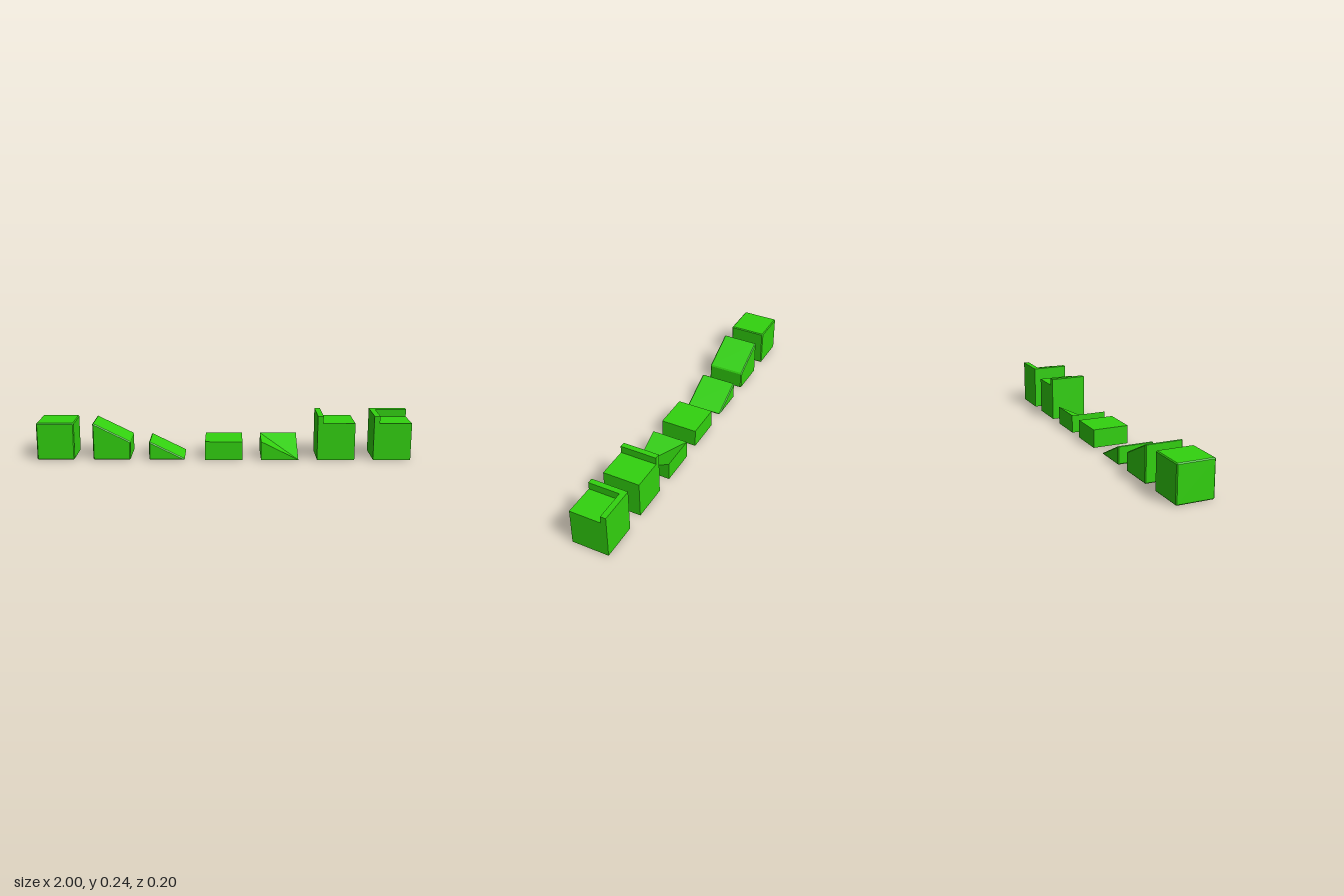
import * as THREE from 'three';
import { ConvexGeometry } from 'three/addons/geometries/ConvexGeometry.js';

const S = 0.1;      // half width of a block
const BEVEL = 0.005;
const LIP = 0.03;   // lip thickness
const V2 = (x, y) => new THREE.Vector2(x, y);

const material = new THREE.MeshStandardMaterial({ color: 0x32d20f, flatShading: true });

// Convex prism along z from a counter-clockwise profile, every edge chamfered
function bevelledPrism(profile) {
  const n = profile.length, points = [];
  profile.forEach((corner, i) => {
    const u = profile[(i + 1) % n].clone().sub(corner).normalize();
    const v = profile[(i + n - 1) % n].clone().sub(corner).normalize();
    const k = BEVEL / Math.abs(u.cross(v));
    const add = (a, b, z) => {
      const p = corner.clone().addScaledVector(u, a * k).addScaledVector(v, b * k);
      points.push(new THREE.Vector3(p.x, p.y, z), new THREE.Vector3(p.x, p.y, -z));
    };
    add(1, 1, S);
    add(1, 0, S - BEVEL);
    add(0, 1, S - BEVEL);
  });
  return new ConvexGeometry(points);
}

// Sharp-edged prism along z, centred
function prism(profile) {
  return new THREE.ExtrudeGeometry(new THREE.Shape(profile), { depth: 2 * S, bevelEnabled: false })
    .translate(0, 0, -S);
}

// Square block with one corner sloping down to the ground, creased along the diagonal
function innerCornerRamp(h) {
  const geometry = new THREE.BufferGeometry();
  geometry.setAttribute('position', new THREE.Float32BufferAttribute([
    -S, 0, -S, S, 0, -S, -S, 0, S, S, 0, S,
    -S, h, -S, S, h, -S, -S, h, S,
  ], 3));
  geometry.setIndex([
    0, 1, 3, 0, 3, 2, // bottom
    0, 4, 5, 0, 5, 1, // back
    0, 2, 6, 0, 6, 4, // left
    2, 3, 6, 3, 1, 5, // triangular front and right
    4, 6, 3, 4, 3, 5, // two slopes
  ]);
  const flat = geometry.toNonIndexed();
  flat.computeVertexNormals();
  return flat;
}

export function createModel() {
  const group = new THREE.Group();
  const add = (name, geometry, x, y = 0) => {
    const mesh = new THREE.Mesh(geometry, material);
    mesh.name = name;
    mesh.position.set(x, y, 0);
    group.add(mesh);
  };

  // Bevelled blocks: cube, raised slope, low slope
  add('cube', bevelledPrism([V2(-S, 0), V2(S, 0), V2(S, 0.2), V2(-S, 0.2)]), -0.9);
  add('upperRamp', bevelledPrism([V2(-S, 0), V2(S, 0), V2(S, 0.1), V2(-S, 0.2)]), -0.6);
  add('lowerRamp', bevelledPrism([V2(-S, 0), V2(S, 0), V2(-S, 0.1)]), -0.3);

  // Half-height slab and corner ramp
  add('halfBlock', new THREE.BoxGeometry(2 * S, 0.1, 2 * S), 0, 0.05);
  add('cornerRamp', innerCornerRamp(0.1), 0.3);

  // Block with a lip along one side
  add('edgeBlock', prism([
    V2(-S, 0), V2(S, 0), V2(S, 0.2), V2(-S + LIP, 0.2), V2(-S + LIP, 0.24), V2(-S, 0.24),
  ]), 0.6);

  // Block with an L-shaped lip along the side and the back
  add('cornerEdgeBlock', new THREE.BoxGeometry(2 * S, 0.2, 2 * S), 0.9, 0.1);
  const lipShape = new THREE.Shape([
    V2(-S, -S), V2(-S + LIP, -S), V2(-S + LIP, S - LIP), V2(S, S - LIP), V2(S, S), V2(-S, S),
  ]);
  const lip = new THREE.ExtrudeGeometry(lipShape, { depth: 0.04, bevelEnabled: false }).rotateX(-Math.PI / 2);
  add('cornerLip', lip, 0.9, 0.2);

  return group;
}
